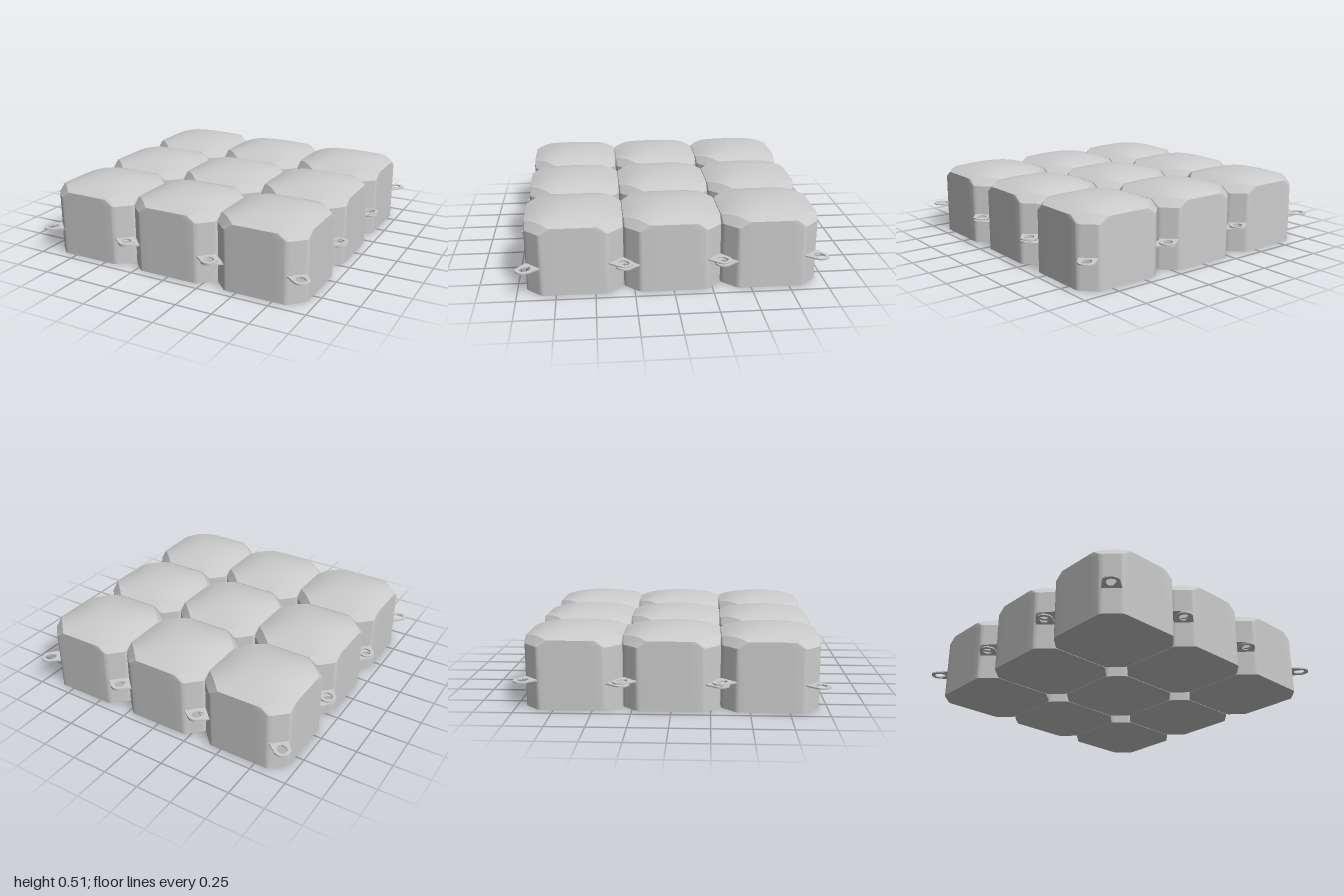
import * as THREE from 'three';
import { toCreasedNormals } from 'three/addons/utils/BufferGeometryUtils.js';

const PITCH = 0.629;   // spacing of the floats
const HALF = 0.3125;   // half width of one float
const WALL_CUT = 0.1;  // corner cut of the walls
const TOP_CUT = 0.16;  // corner cut at the rim of the crown

// Square with cut corners, each of the eight bends slightly rounded, as [x, z] points
function outline(cut, round) {
  const corners = [];
  for (let i = 0; i < 4; i++) {
    const turn = ([x, z]) => {
      for (let k = 0; k < i; k++) [x, z] = [z, -x];
      return new THREE.Vector2(x, z);
    };
    corners.push(turn([HALF, HALF - cut]), turn([HALF, cut - HALF]));
  }
  const points = [];
  corners.forEach((p, i) => {
    const before = corners[(i + 7) % 8], after = corners[(i + 1) % 8];
    const toward = (q) => p.clone().add(q.clone().sub(p).setLength(round));
    const bend = new THREE.QuadraticBezierCurve(toward(before), p, toward(after)).getPoints(4);
    points.push(...bend);
    // Extra points along the straight run to the next bend
    const end = after.clone().add(p.clone().sub(after).setLength(round));
    for (let k = 1; k < 6; k++) points.push(bend[4].clone().lerp(end, k / 6));
  });
  return points;
}

// Height of the pillow-shaped crown
function crownHeight(x, z) {
  const fall = (t) => 1 - Math.min(1, Math.abs(t) / HALF) ** 2.4;
  return 0.455 + 0.058 * fall(x) * fall(z);
}

// Hollow-looking float: flat base, walls, corner facets and crown, joined loop by loop
function floatGeometry() {
  const wall = outline(WALL_CUT, 0.018);
  const rim = outline(TOP_CUT, 0.006);
  const n = wall.length;
  const loops = [
    wall.map(() => [0, 0, 0]),
    wall.map((p) => [p.x, 0, p.y]),
    wall.map((p) => [p.x, 0.412, p.y]),
  ];
  for (const s of [1, 0.92, 0.83, 0.72, 0.6, 0.45, 0.3, 0.15, 0]) {
    loops.push(rim.map((p) => [p.x * s, crownHeight(p.x * s, p.y * s), p.y * s]));
  }
  const index = [];
  for (let j = 0; j < loops.length - 1; j++) {
    for (let i = 0; i < n; i++) {
      const a = j * n + i, b = j * n + (i + 1) % n, c = a + n, d = b + n;
      if (j > 0) index.push(a, b, d);
      if (j === 0) index.push(a, d, c);
      else if (j < loops.length - 2) index.push(a, d, c);
    }
  }
  const geometry = new THREE.BufferGeometry();
  geometry.setAttribute('position', new THREE.Float32BufferAttribute(loops.flat(2), 3));
  geometry.setIndex(index);
  return toCreasedNormals(geometry, 0.4);
}

// Flat eyelet around the origin, its root reaching along +x
function lugGeometry() {
  const r = 0.055, root = 0.085;
  const shape = new THREE.Shape();
  shape.moveTo(root, 0.064);
  shape.lineTo(0, r);
  shape.absarc(0, 0, r, Math.PI / 2, Math.PI * 1.5, false);
  shape.lineTo(root, -0.064);
  shape.closePath();
  // Hole is round outside and narrows toward the root
  const hole = new THREE.Path();
  hole.moveTo(0, 0.031);
  hole.absarc(0, 0, 0.031, Math.PI / 2, Math.PI * 1.5, false);
  hole.lineTo(0.025, -0.028);
  hole.lineTo(0.047, -0.012);
  hole.lineTo(0.047, 0.012);
  hole.lineTo(0.025, 0.028);
  hole.closePath();
  shape.holes.push(hole);
  const geometry = new THREE.ExtrudeGeometry(shape, { depth: 0.009, bevelEnabled: false, curveSegments: 16 });
  geometry.rotateX(-Math.PI / 2);
  return toCreasedNormals(geometry, 0.5);
}

export function createModel() {
  const model = new THREE.Group();
  model.name = 'floatingPlatform';
  const material = new THREE.MeshStandardMaterial({ color: 0xcccccc });
  const bodyGeometry = floatGeometry();
  const eyeletGeometry = lugGeometry();

  // Each corner has its own level so that four eyelets stack where floats meet
  const lugs = [
    { name: 'frontRightLug', sx: -1, sz: 1, y: 0.172 },
    { name: 'frontLeftLug', sx: 1, sz: 1, y: 0.181 },
    { name: 'backRightLug', sx: -1, sz: -1, y: 0.19 },
    { name: 'backLeftLug', sx: 1, sz: -1, y: 0.199 },
  ];

  for (let row = -1; row <= 1; row++) {
    for (let column = -1; column <= 1; column++) {
      const unit = new THREE.Group();
      unit.name = 'floatUnit';
      unit.position.set(column * PITCH, 0, row * PITCH);
      const body = new THREE.Mesh(bodyGeometry, material);
      body.name = 'floatBody';
      unit.add(body);
      for (const { name, sx, sz, y } of lugs) {
        const lug = new THREE.Mesh(eyeletGeometry, material);
        lug.name = name;
        lug.position.set(sx * PITCH / 2, y, sz * PITCH / 2);
        lug.rotation.y = Math.atan2(sz, -sx);
        unit.add(lug);
      }
      model.add(unit);
    }
  }
  return model;
}
